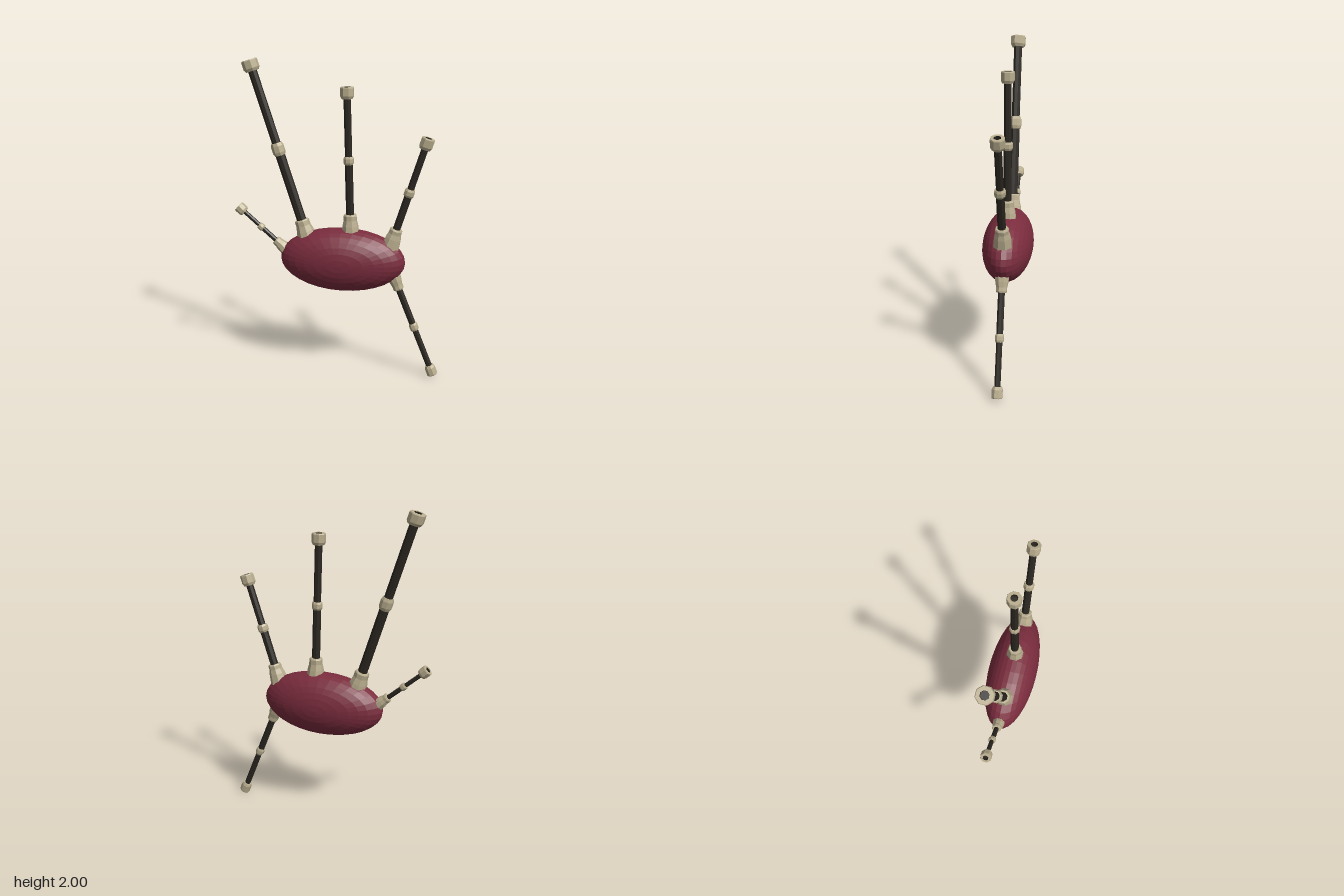
import * as THREE from 'three';

const cloth = new THREE.MeshStandardMaterial({ color: 0x7a2c3d, flatShading: true });
const wood = new THREE.MeshStandardMaterial({ color: 0x2b2721, flatShading: true });
const ivory = new THREE.MeshStandardMaterial({ color: 0xb9ad8e, flatShading: true });

// Eight-sided turned part from [radius, height] pairs, listed bottom to top
function turned(name, profile, material) {
  const points = profile.map(([r, y]) => new THREE.Vector2(r, y));
  const mesh = new THREE.Mesh(new THREE.LatheGeometry(points, 8, Math.PI / 8), material);
  mesh.name = name;
  return mesh;
}

// A pipe from its base in the bag to its open tip
function makePipe({ name, base, tip, stock, mid, r, stockR, ringR, ringL, capR, capL }) {
  const from = new THREE.Vector3(base[0], base[1], 0);
  const axis = new THREE.Vector3(tip[0], tip[1], 0).sub(from);
  const length = axis.length();
  const pipe = new THREE.Group();
  pipe.name = name;
  pipe.position.copy(from);
  pipe.quaternion.setFromUnitVectors(new THREE.Vector3(0, 1, 0), axis.normalize());

  const bore = capR * 0.5;
  const m = mid * length;
  const c = length - capL;

  // Wooden tube, a little slimmer above the joint
  pipe.add(turned('tube', [[r, 0], [r, m], [r * 0.9, m], [r * 0.9, length - 0.025], [0, length - 0.025]], wood));
  // Flared stock where the pipe meets the bag
  pipe.add(turned('stock', [
    [stockR * 1.45, -0.05], [stockR * 1.2, stock * 0.3], [stockR, stock * 0.65],
    [stockR, stock - 0.008], [stockR * 0.88, stock], [0, stock],
  ], ivory));
  // Bevelled joint ring
  pipe.add(turned('jointRing', [
    [r * 0.8, m - ringL / 2], [ringR * 0.82, m - ringL / 2], [ringR, m - ringL / 4],
    [ringR, m + ringL / 4], [ringR * 0.82, m + ringL / 2], [r * 0.8, m + ringL / 2],
  ], ivory));
  // Hollow end cap
  pipe.add(turned('endCap', [
    [r * 0.8, c], [capR * 0.8, c], [capR, c + capL * 0.25], [capR, length - 0.006],
    [capR * 0.93, length], [bore, length],
  ], ivory));
  pipe.add(turned('bore', [[bore, length], [bore, length - 0.025], [0, length - 0.025]], wood));
  return pipe;
}

export function createModel() {
  const model = new THREE.Group();
  model.name = 'bagpipes';

  // Flattened oval bag, poles facing front and back
  const bagGeometry = new THREE.SphereGeometry(1, 32, 16);
  bagGeometry.rotateX(Math.PI / 2);
  bagGeometry.scale(0.397, 0.204, 0.156);
  const bag = new THREE.Mesh(bagGeometry, cloth);
  bag.name = 'bag';
  bag.position.set(0.033, 0.758, 0);
  model.add(bag);

  const pipes = [
    { name: 'bassDrone', base: [-0.195, 0.9], tip: [-0.54, 1.985], stock: 0.11, mid: 0.505,
      r: 0.03, stockR: 0.046, ringR: 0.04, ringL: 0.08, capR: 0.05, capL: 0.07 },
    { name: 'middleDrone', base: [0.084, 0.95], tip: [0.058, 1.835], stock: 0.105, mid: 0.5,
      r: 0.025, stockR: 0.042, ringR: 0.033, ringL: 0.05, capR: 0.043, capL: 0.07 },
    { name: 'shortDrone', base: [0.345, 0.89], tip: [0.55, 1.545], stock: 0.09, mid: 0.485,
      r: 0.025, stockR: 0.042, ringR: 0.034, ringL: 0.05, capR: 0.043, capL: 0.07 },
    { name: 'chanter', base: [0.362, 0.665], tip: [0.625, 0.013], stock: 0.09, mid: 0.505,
      r: 0.021, stockR: 0.034, ringR: 0.028, ringL: 0.05, capR: 0.034, capL: 0.068 },
    { name: 'blowpipe', base: [-0.345, 0.815], tip: [-0.638, 1.071], stock: 0.07, mid: 0.5,
      r: 0.015, stockR: 0.03, ringR: 0.023, ringL: 0.036, capR: 0.035, capL: 0.055 },
  ];
  for (const spec of pipes) model.add(makePipe(spec));
  return model;
}
